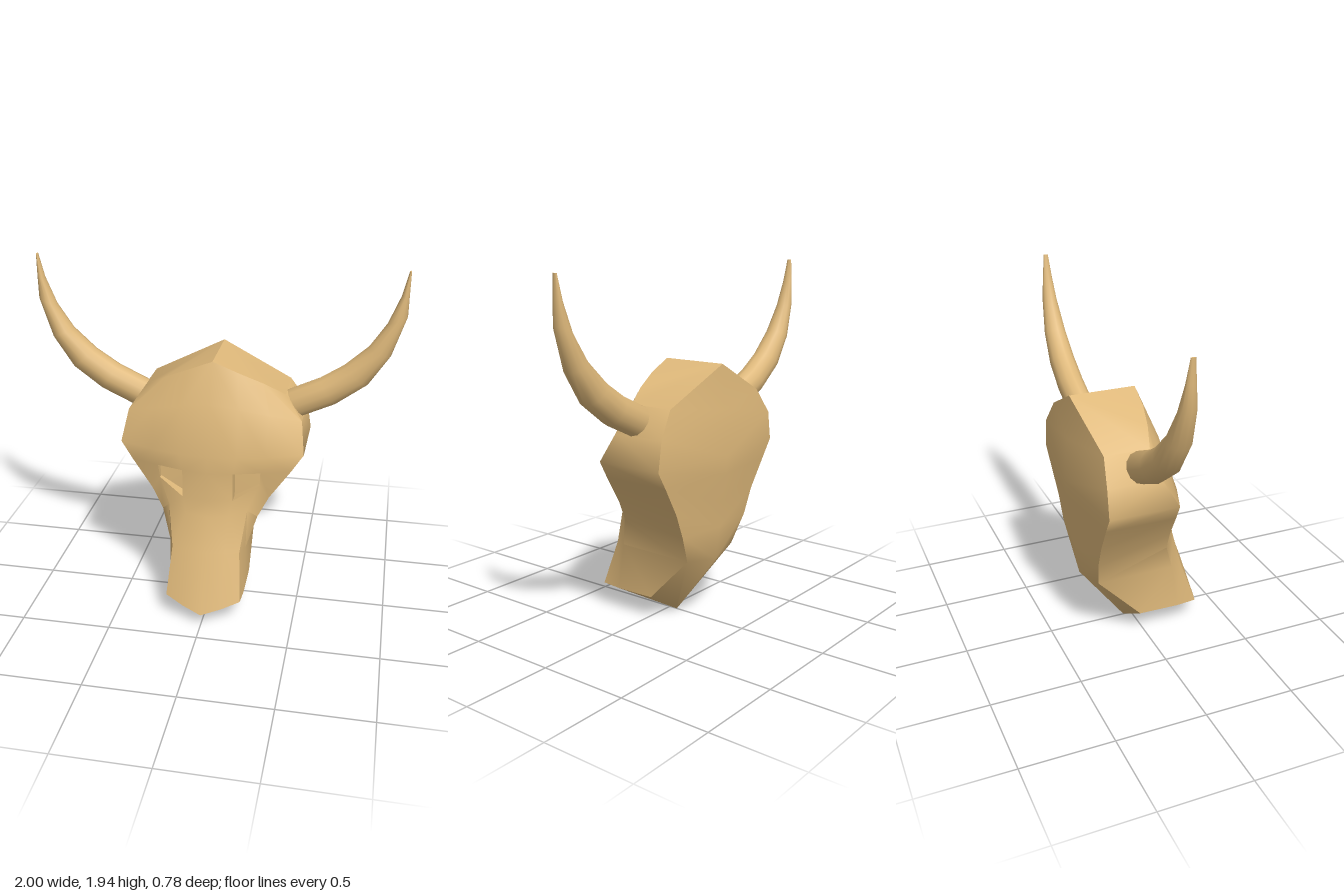
import * as THREE from 'three';
import { toCreasedNormals } from 'three/addons/utils/BufferGeometryUtils.js';

// Half rings of the skull, top to bottom: front centre, inner eye, outer eye,
// front edge, back edge, back centre
const V = (x, y, z) => new THREE.Vector3(x, y, z);
const RINGS = [
  [V(0, 1.44, 0.02), V(0.14, 1.38, 0.01), V(0.27, 1.32, -0.02), V(0.39, 1.25, -0.06), V(0.39, 1.25, -0.31), V(0, 1.44, -0.35)],
  [V(0, 1.22, 0.1), V(0.16, 1.2, 0.09), V(0.32, 1.16, 0.05), V(0.485, 1.11, -0.03), V(0.485, 1.11, -0.33), V(0, 1.2, -0.37)],
  [V(0, 0.95, 0.185), V(0.16, 0.95, 0.17), V(0.32, 0.95, 0.13), V(0.51, 0.95, 0.06), V(0.51, 0.95, -0.33), V(0, 0.95, -0.39)],
  [V(0, 0.855, 0.19), V(0.14, 0.855, 0.17), V(0.285, 0.855, 0.13), V(0.445, 0.85, 0.07), V(0.445, 0.85, -0.325), V(0, 0.85, -0.38)],
  [V(0, 0.69, 0.195), V(0.14, 0.69, 0.165), V(0.28, 0.77, 0.11), V(0.33, 0.69, 0.09), V(0.345, 0.69, -0.315), V(0, 0.69, -0.36)],
  [V(0, 0.59, 0.2), V(0.12, 0.6, 0.185), V(0.22, 0.63, 0.155), V(0.27, 0.57, 0.1), V(0.285, 0.55, -0.31), V(0, 0.55, -0.343)],
  [V(0, 0.4, 0.27), V(0.12, 0.4, 0.255), V(0.19, 0.4, 0.225), V(0.215, 0.4, 0.16), V(0.205, 0.39, -0.28), V(0, 0.36, -0.32)],
  [V(0, 0.07, 0.39), V(0.11, 0.1, 0.355), V(0.21, 0.135, 0.315), V(0.215, 0.13, 0.2), V(0.21, 0.13, -0.03), V(0, 0, -0.05)],
];

// Horn stations: upper x, y, lower x, y, half depth in z
const HORN = [
  [0.30, 1.17, 0.42, 1.05, 0.07],
  [0.39, 1.25, 0.49, 1.11, 0.075],
  [0.56, 1.33, 0.66, 1.19, 0.076],
  [0.69, 1.415, 0.82, 1.31, 0.073],
  [0.815, 1.53, 0.93, 1.48, 0.063],
  [0.90, 1.66, 1.0, 1.70, 0.043],
  [0.96, 1.81, 1.0, 1.82, 0.027],
  [0.99, 1.94, 1.0, 1.94, 0.013],
];

const quad = (out, a, b, c, d) => out.push(a, b, c, a, c, d);

// Swap the corner order as well as x, so the faces still point outwards
function mirror(points) {
  const out = [];
  for (let i = 0; i < points.length; i += 3) {
    for (const k of [0, 2, 1]) {
      const p = points[i + k];
      out.push(V(-p.x, p.y, p.z));
    }
  }
  return out;
}

function surface(points, crease) {
  const geometry = new THREE.BufferGeometry().setFromPoints(points);
  return toCreasedNormals(geometry, crease);
}

function skullHalf() {
  const out = [];
  for (let r = 0; r < RINGS.length - 1; r++) {
    for (let c = 0; c < 5; c++) {
      const rim = [RINGS[r][c], RINGS[r + 1][c], RINGS[r + 1][c + 1], RINGS[r][c + 1]];
      if (r === 3 && c === 1) {
        // eye socket: walls and a sunken floor
        const depth = [0.08, 0.07, 0.025, 0.05];
        const deep = rim.map((p, i) => V(p.x, p.y, p.z - depth[i]));
        for (let i = 0; i < 4; i++) {
          const j = (i + 1) % 4;
          quad(out, rim[i], rim[j], deep[j], deep[i]);
        }
        quad(out, ...deep);
      } else {
        quad(out, ...rim);
      }
    }
  }
  // crown and underside of the muzzle
  const top = RINGS[0];
  const bottom = RINGS[RINGS.length - 1];
  for (let c = 0; c < 4; c++) {
    out.push(top[5], top[c], top[c + 1]);
    out.push(bottom[5], bottom[c + 1], bottom[c]);
  }
  return out;
}

function hornPoints() {
  const sides = 12;
  const rings = HORN.map(([ux, uy, lx, ly, depth]) => {
    const ring = [];
    for (let i = 0; i < sides; i++) {
      const a = (i / sides) * Math.PI * 2;
      const t = Math.cos(a) / 2;
      ring.push(V((ux + lx) / 2 + (ux - lx) * t, (uy + ly) / 2 + (uy - ly) * t, -0.132 + depth * Math.sin(a)));
    }
    return ring;
  });
  const out = [];
  const tip = rings[rings.length - 1];
  for (let i = 0; i < sides; i++) {
    const j = (i + 1) % sides;
    for (let k = 0; k < rings.length - 1; k++) {
      quad(out, rings[k][i], rings[k][j], rings[k + 1][j], rings[k + 1][i]);
    }
    if (i > 0 && i < sides - 1) out.push(tip[0], tip[i], tip[j]);
  }
  return out;
}

export function createModel() {
  const model = new THREE.Group();
  model.name = 'hornedSkull';
  const bone = new THREE.MeshStandardMaterial({ color: 0xdeb87a });
  bone.name = 'bone';

  const add = (name, points, crease) => {
    const mesh = new THREE.Mesh(surface(points, crease), bone);
    mesh.name = name;
    model.add(mesh);
  };

  const half = skullHalf();
  add('skull', [...half, ...mirror(half)], 0.8);

  const horn = hornPoints();
  add('leftHorn', horn, 1);
  add('rightHorn', mirror(horn), 1);
  return model;
}
